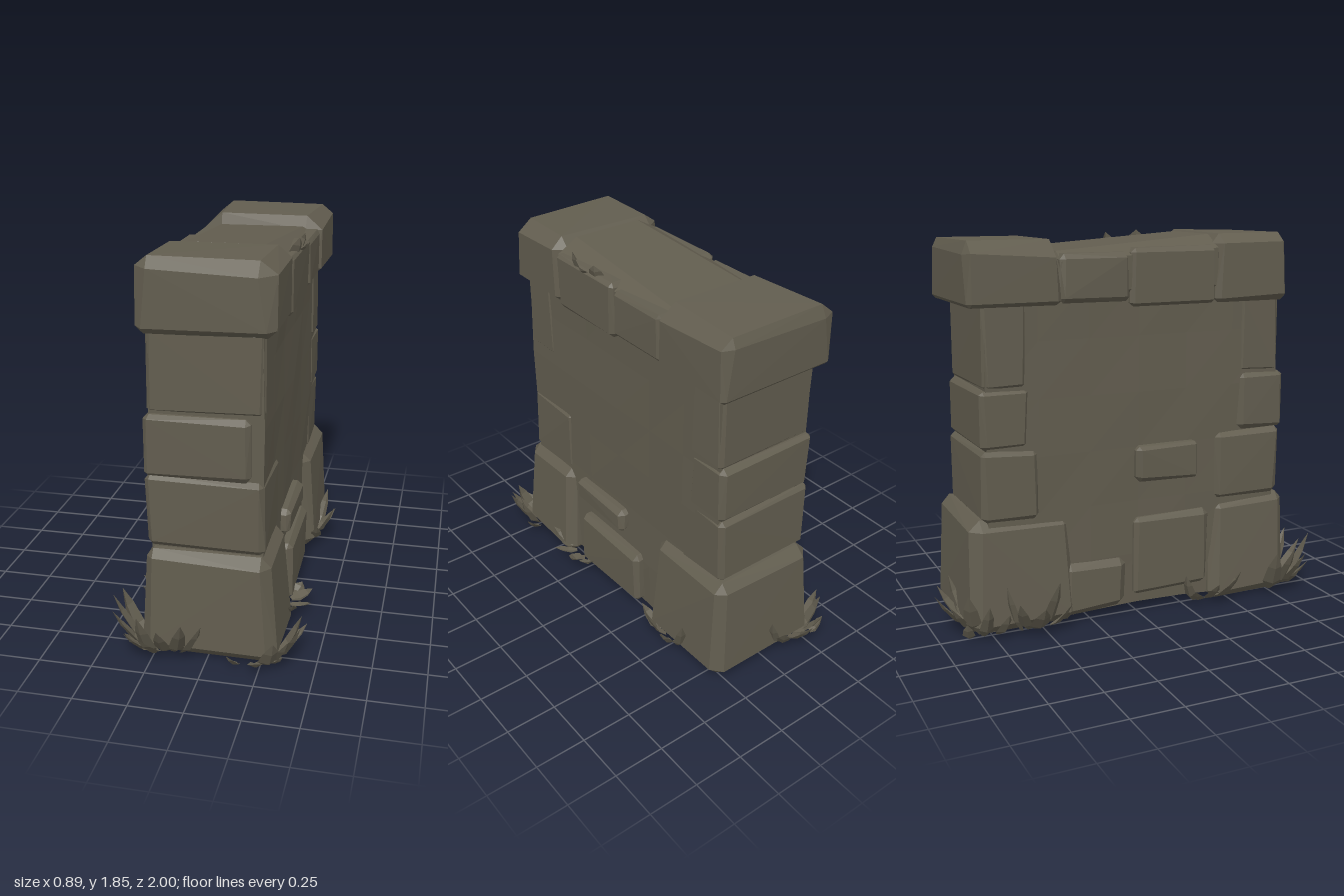
import * as THREE from 'three';
import { ConvexGeometry } from 'three/addons/geometries/ConvexGeometry.js';

const stoneMat = new THREE.MeshStandardMaterial({ color: 0x625d4f, flatShading: true, side: THREE.DoubleSide });
stoneMat.name = 'mossy stone';

// Small seeded random generator
function seeded(seed) {
  let s = seed * 7919 + 17;
  return () => {
    s = (s * 16807) % 2147483647;
    return s / 2147483647;
  };
}

// Chiselled block: hull of a box with bevelled, slightly uneven corners.
// bevel and topBevel are [x, y, z] insets; slope lowers the top towards the back
function stone(name, [x0, x1], [y0, y1], [z0, z1], opt = {}) {
  const { bevel = [0.022, 0.022, 0.022], topBevel = bevel, taper = 0, slope = 0, seed = 1 } = opt;
  const rnd = seeded(seed);
  const c = new THREE.Vector3((x0 + x1) / 2, (y0 + y1) / 2, (z0 + z1) / 2);
  const h = new THREE.Vector3((x1 - x0) / 2, (y1 - y0) / 2, (z1 - z0) / 2);
  const pts = [];
  for (const sx of [-1, 1]) for (const sy of [-1, 1]) for (const sz of [-1, 1]) {
    const b = sy > 0 ? topBevel : bevel;
    const size = 0.7 + 0.6 * rnd();
    const shrink = sy > 0 ? taper : 0;
    for (let axis = 0; axis < 3; axis++) {
      const inset = [0, 1, 2].map((i) => (i === axis ? 0 : b[i] * size) + rnd() * 0.008);
      const p = new THREE.Vector3(
        c.x + sx * (h.x - inset[0] - shrink),
        c.y + sy * (h.y - inset[1]),
        c.z + sz * (h.z - inset[2] - shrink * 0.5)
      );
      if (sy > 0 && sz < 0) p.y -= slope;
      pts.push(p);
    }
  }
  const mesh = new THREE.Mesh(new ConvexGeometry(pts), stoneMat);
  mesh.name = name;
  return mesh;
}

// Main wall body with gently uneven faces and a hollowed underside
function wallCore() {
  const geo = new THREE.BoxGeometry(0.51, 1.62, 1.525, 2, 6, 6);
  const pos = geo.attributes.position;
  for (let i = 0; i < pos.count; i++) {
    const x = pos.getX(i), y = pos.getY(i), z = pos.getZ(i);
    const wave = Math.sin(y * 7.3 + z * 4.1) * Math.cos(z * 5.7 - y * 2.3);
    pos.setX(i, x * (1 + 0.02 * wave));
    if (y < -0.8) pos.setY(i, y + 0.015 * Math.cos(z * 4) + (Math.abs(x) < 0.1 ? 0.03 : 0));
  }
  const mesh = new THREE.Mesh(geo, stoneMat);
  mesh.name = 'wallCore';
  mesh.position.set(-0.007, 0.85, 0.007);
  return mesh;
}

// Folded leaf blade curving outwards from its root
function leafBlade(root, angle, reach, height, width) {
  const dir = new THREE.Vector3(Math.sin(angle), 0, Math.cos(angle));
  const side = new THREE.Vector3(dir.z, 0, -dir.x);
  const rows = [[0, 0.4], [0.35, 1], [0.72, 0.75], [1, 0.02]];
  const verts = [], index = [];
  rows.forEach(([t, w], r) => {
    const mid = root.clone().addScaledVector(dir, reach * t);
    mid.y += height * Math.pow(t, 1.35);
    for (const k of [-1, 0, 1]) {
      const p = mid.clone().addScaledVector(side, (k * w * width) / 2);
      if (k === 0) {
        p.addScaledVector(dir, w * width * 0.2);
        p.y -= w * width * 0.12;
      }
      verts.push(p.x, Math.max(p.y, 0), p.z);
    }
    if (r < rows.length - 1) for (const k of [0, 1]) {
      const a = r * 3 + k;
      index.push(a, a + 1, a + 3, a + 1, a + 4, a + 3);
    }
  });
  const geo = new THREE.BufferGeometry();
  geo.setAttribute('position', new THREE.Float32BufferAttribute(verts, 3));
  geo.setIndex(index);
  geo.computeVertexNormals();
  const mesh = new THREE.Mesh(geo, stoneMat);
  mesh.name = 'leaf';
  return mesh;
}

// Fan of leaves facing one direction, roots spread sideways
function plant(name, [x, y, z], facing, spread, count, reach, height, seed) {
  const g = new THREE.Group();
  g.name = name;
  const rnd = seeded(seed);
  for (let i = 0; i < count; i++) {
    const f = i / (count - 1) - 0.5;
    const root = new THREE.Vector3(x + f * 0.14 * Math.cos(facing), y, z - f * 0.14 * Math.sin(facing));
    const out = reach * (1 - 0.9 * Math.abs(f) * rnd());
    const turn = f * spread * (0.7 + 0.6 * rnd());
    g.add(leafBlade(root, facing + turn, out, height * (0.35 + 0.65 * rnd()), 0.055 + 0.045 * rnd()));
  }
  return g;
}

export function createModel() {
  const model = new THREE.Group();
  model.name = 'stoneWall';
  model.add(wallCore());

  // Capstones
  model.add(
    stone('frontCap', [-0.31, 0.305], [1.525, 1.86], [0.395, 0.81], { bevel: [0.035, 0.03, 0.03], topBevel: [0.07, 0.055, 0.05], seed: 2 }),
    stone('backCap', [-0.3, 0.32], [1.55, 1.848], [-0.84, -0.385], { bevel: [0.03, 0.02, 0.02], topBevel: [0.07, 0.06, 0.025], seed: 3 }),
    stone('middleCap', [-0.29, 0.295], [1.58, 1.858], [-0.42, 0.45], { bevel: [0.03, 0.03, 0.03], topBevel: [0.09, 0.05, 0.03], slope: 0.06, seed: 4 })
  );
  for (const xs of [[0, 0.31], [-0.3, 0]]) {
    model.add(
      stone('capSideFront', xs, [1.525, 1.805], [-0.05, 0.41], { seed: 5 }),
      stone('capSideBack', xs, [1.555, 1.785], [-0.4, -0.05], { seed: 6 })
    );
  }

  // Stacked end stones: x range, y range, outer z, inner z
  const endStones = [
    [[-0.275, 0.26], [1.17, 1.56], 0.78, 0.55],
    [[-0.288, 0.2], [0.88, 1.175], 0.81, 0.55],
    [[-0.29, 0.258], [0.53, 0.885], 0.795, 0.42],
    [[-0.275, 0.258], [1.17, 1.58], -0.772, -0.55],
    [[-0.28, 0.258], [0.89, 1.18], -0.788, -0.55],
    [[-0.285, 0.256], [0.55, 0.9], -0.792, -0.5]
  ];
  endStones.forEach(([xs, ys, zo, zi], i) => {
    const name = zo > 0 ? 'frontEndStone' : 'backEndStone';
    model.add(stone(name, xs, ys, [Math.min(zo, zi), Math.max(zo, zi)], { seed: 10 + i }));
  });

  // Large foot stones
  const footBevel = { bevel: [0.05, 0.05, 0.05], taper: 0.03 };
  model.add(
    stone('frontFoot', [-0.32, 0.325], [0.005, 0.535], [0.39, 0.85], { ...footBevel, seed: 20 }),
    stone('backFoot', [-0.31, 0.325], [0.02, 0.575], [-0.86, -0.31], { ...footBevel, seed: 21 })
  );

  // Bricks standing proud of the long sides
  model.add(
    stone('sideBrick', [0.2, 0.3], [0.425, 0.555], [-0.07, 0.34], { seed: 30 }),
    stone('lowBrick', [0.18, 0.305], [0.05, 0.35], [-0.2, 0.3], { seed: 31 }),
    stone('sideBrick', [-0.31, -0.2], [0.67, 0.86], [-0.02, 0.32], { seed: 32 }),
    stone('lowBrick', [-0.3, -0.18], [0.1, 0.5], [-0.03, 0.39], { seed: 33 }),
    stone('lowBrick', [-0.3, -0.18], [0.04, 0.32], [-0.4, -0.05], { bevel: [0.04, 0.04, 0.04], seed: 34 })
  );

  // Plants around the foot: root, facing, spread, count, reach, height
  const P = Math.PI;
  const plants = [
    [[-0.19, 0.03, 0.83], 0, 1.9, 5, 0.17, 0.26],
    [[-0.28, 0.03, 0.8], -P / 3, 1.6, 5, 0.17, 0.29],
    [[0.3, 0.03, 0.78], P / 2.6, 1.8, 5, 0.14, 0.28],
    [[0.22, 0.02, 0.83], P / 10, 1.4, 3, 0.13, 0.08],
    [[-0.17, 0.04, -0.83], P, 2.2, 5, 0.17, 0.28],
    [[-0.29, 0.03, -0.8], -P / 2, 1.2, 3, 0.1, 0.18],
    [[-0.3, 0.03, -0.55], -P / 2, 2, 5, 0.15, 0.26],
    [[-0.3, 0.03, 0.37], -P / 2, 2.2, 5, 0.14, 0.22],
    [[0.31, 0.05, -0.49], P / 2, 2, 4, 0.12, 0.25],
    [[0.3, 0.06, 0.33], P / 2, 2.2, 4, 0.13, 0.1]
  ];
  plants.forEach((p, i) => model.add(plant('footPlant', ...p, 41 + i)));

  // Sprig growing from the cap
  model.add(plant('capSprig', [0.27, 1.78, 0.17], P / 2, 0.8, 3, 0.06, 0.09, 61));
  return model;
}
